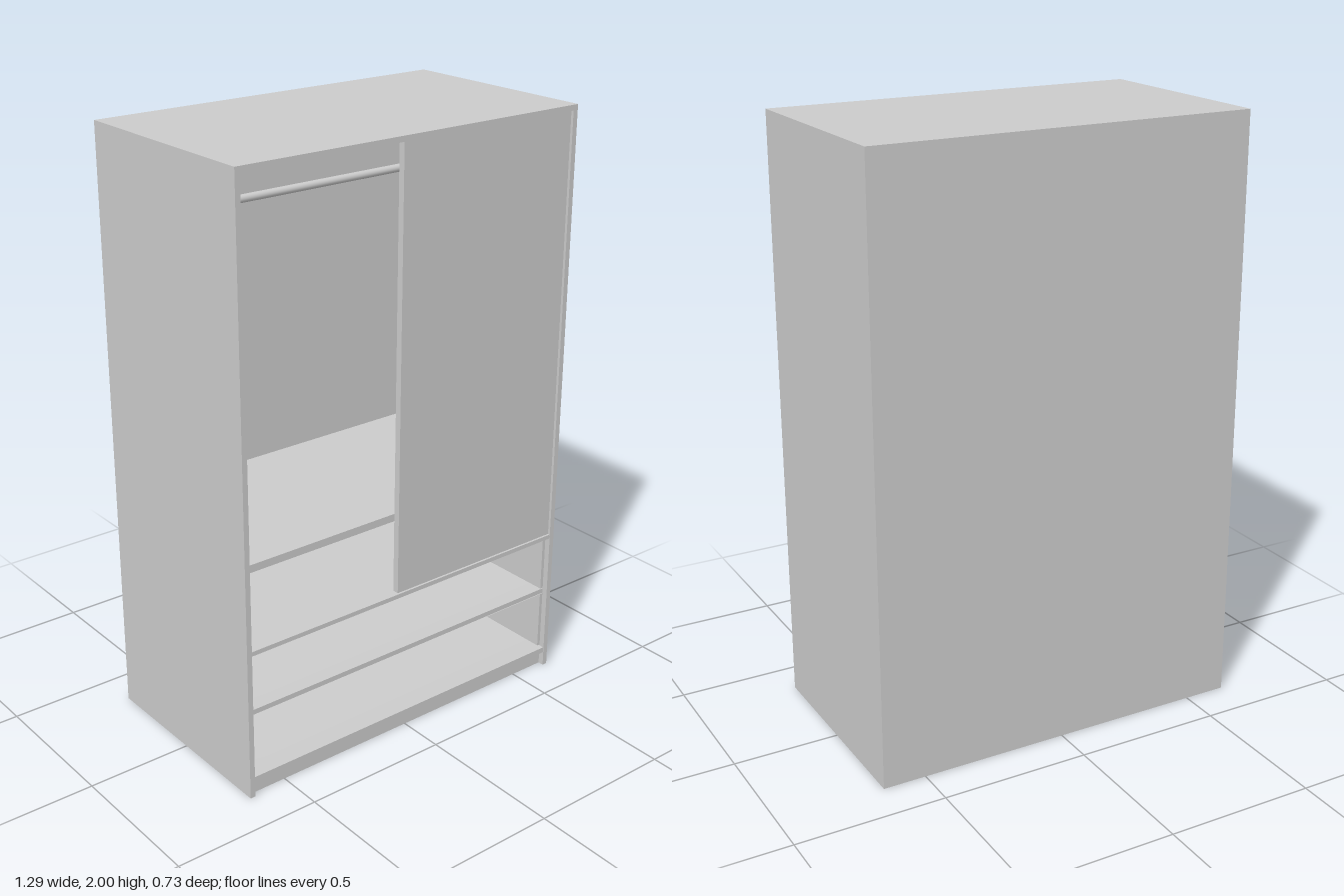
import * as THREE from 'three';

const W = 1.29, H = 2, D = 0.726, T = 0.018;
const X = W / 2, Z = D / 2, IN = X - T; // IN: inner face of the side panels

export function createModel() {
  const group = new THREE.Group();
  const material = new THREE.MeshStandardMaterial({ color: 0xcccccc, side: THREE.DoubleSide });

  function add(name, geometry) {
    const mesh = new THREE.Mesh(geometry, material);
    mesh.name = name;
    group.add(mesh);
    return mesh;
  }

  // Box given by its limits on each axis
  function panel(name, x0, x1, y0, y1, z0, z1) {
    add(name, new THREE.BoxGeometry(x1 - x0, y1 - y0, z1 - z0))
      .position.set((x0 + x1) / 2, (y0 + y1) / 2, (z0 + z1) / 2);
  }

  // Carcass
  panel('leftSide', IN, X, 0, H, -Z, Z);
  panel('rightSide', -X, -IN, 0, H, -Z, Z);
  panel('topPanel', -IN, IN, H - T, H, -Z, Z);
  panel('backPanel', -IN, IN, 0.05, H - T, -Z, -Z + T);
  panel('plinth', -IN, IN, 0, 0.05, -Z, Z - 0.02);
  panel('bottomPanel', -IN, IN, 0.05, 0.07, -Z + T, Z - 0.002);
  panel('fixedShelf', -IN, IN, 0.502, 0.517, -Z + T, Z - 0.002);
  panel('nicheDivider', -IN, IN, 0.283, 0.3, -Z + T, Z - 0.02);

  // Wardrobe interior and sliding door
  panel('innerShelf', -IN, IN, 0.737, 0.763, -Z + T, Z - 0.075);
  panel('slidingDoor', -0.05, IN - 0.001, 0.518, H - T - 0.001, Z - 0.03, Z - 0.008);
  const rail = add('hangingRail', new THREE.CylinderGeometry(0.012, 0.012, 2 * IN, 20));
  rail.rotation.z = Math.PI / 2;
  rail.position.set(0, 1.856, 0.195);

  // Softly shaded niche lining: floor, back and ceiling as one ribbon
  function niche(y0, y1) {
    const w = IN - 0.012, back = -Z + T + 0.01, front = Z - 0.02;
    const profile = [[y0, front], [y0, back], [y1, back], [y1, front]];
    const positions = [], index = [];
    profile.forEach(([y, z], i) => {
      positions.push(-w, y, z, w, y, z);
      if (i < 3) {
        const a = 2 * i;
        index.push(a, a + 1, a + 3, a, a + 3, a + 2);
      }
    });
    const geometry = new THREE.BufferGeometry();
    geometry.setAttribute('position', new THREE.Float32BufferAttribute(positions, 3));
    geometry.setIndex(index);
    geometry.computeVertexNormals();
    add('nicheLining', geometry);
    panel('nicheLeftCheek', w, IN, y0, y1, back, front);
    panel('nicheRightCheek', -IN, -w, y0, y1, back, front);
  }
  niche(0.074, 0.281);
  niche(0.303, 0.5);

  return group;
}
